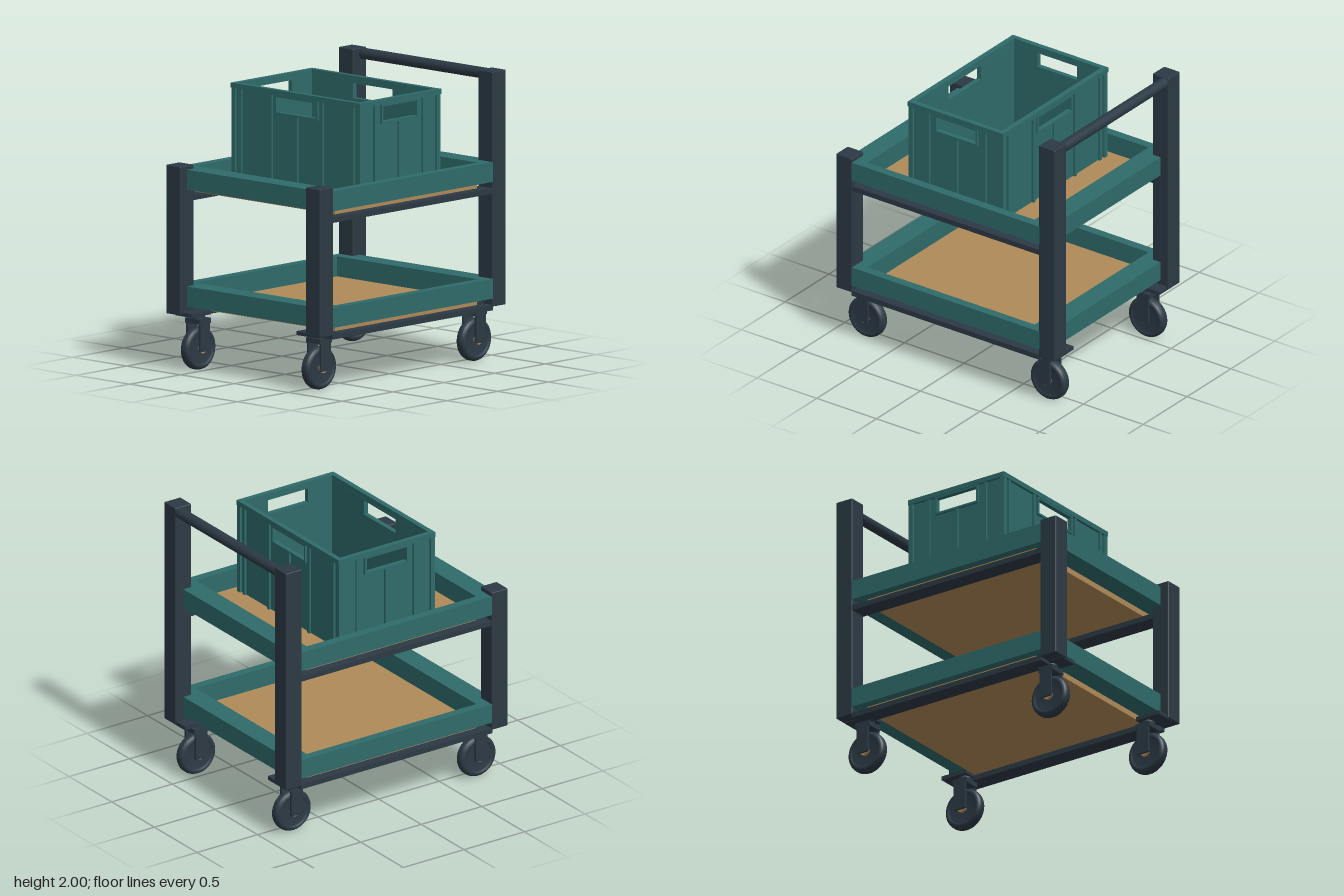
import * as THREE from 'three';
import { RoundedBoxGeometry } from 'three/addons/geometries/RoundedBoxGeometry.js';

const mat = (name, color) => {
  const m = new THREE.MeshStandardMaterial({ color });
  m.name = name;
  return m;
};

export function createModel() {
  const teal = mat('teal', 0x2f6b6a);
  const dark = mat('darkSteel', 0x2c3944);
  const wood = mat('wood', 0xb08a58);

  const root = new THREE.Group();
  root.name = 'trolley';

  const add = (parent, name, geometry, material) => {
    const mesh = new THREE.Mesh(geometry, material);
    mesh.name = name;
    parent.add(mesh);
    return mesh;
  };
  // Box given by its minimum and maximum on each axis
  const box = (parent, name, m, [x0, x1], [y0, y1], [z0, z1], bevel = 0) => {
    const s = [Math.abs(x1 - x0), y1 - y0, Math.abs(z1 - z0)];
    const g = bevel ? new RoundedBoxGeometry(...s, 2, bevel) : new THREE.BoxGeometry(...s);
    g.translate((x0 + x1) / 2, (y0 + y1) / 2, (z0 + z1) / 2);
    return add(parent, name, g, m);
  };
  const group = (name, parent = root) => {
    const g = new THREE.Group();
    g.name = name;
    parent.add(g);
    return g;
  };

  // Corner posts: short at the front, tall at the back
  for (const sx of [-1, 1]) {
    const px = [sx * 0.582, sx * 0.715];
    box(root, 'frontPost', dark, px, [0.39, 1.41], [0.783, 0.916], 0.007);
    box(root, 'backPost', dark, px, [0.39, 2], [-0.916, -0.783], 0.007);
  }

  // Push handle between the tall posts
  const handle = add(root, 'pushHandle', new THREE.CylinderGeometry(0.038, 0.038, 1.18, 24), dark);
  handle.rotation.z = Math.PI / 2;
  handle.position.set(0, 1.96, -0.88);

  // Two trays, each with a board, a raised rim and support rails
  for (const [name, y] of [['lowerTray', 0.365], ['upperTray', 1.165]]) {
    const tray = group(name);
    box(tray, 'board', wood, [-0.65, 0.65], [y + 0.04, y + 0.08], [-0.7, 0.7]);
    for (const s of [-1, 1]) {
      box(tray, 'supportRail', dark, [s * 0.582, s * 0.712], [y, y + 0.037], [-0.79, 0.79]);
      box(tray, 'sideRim', teal, [s * 0.65, s * 0.714], [y + 0.08, y + 0.217], [-0.79, 0.79]);
      box(tray, 'endRim', teal, [-0.65, 0.65], [y + 0.08, y + 0.217], [s * 0.7, s * 0.85]);
    }
  }

  // Casters
  const tyreProfile = [
    [0.03, -0.026], [0.105, -0.026], [0.112, -0.037], [0.128, -0.037], [0.141, -0.027],
    [0.147, -0.012], [0.147, 0.012], [0.141, 0.027], [0.128, 0.037], [0.112, 0.037],
    [0.105, 0.026], [0.03, 0.026],
  ].map(([r, h]) => new THREE.Vector2(r, h));
  for (const sx of [-1, 1]) for (const sz of [-1, 1]) {
    const caster = group('caster');
    caster.position.set(sx * 0.56, 0, sz * 0.763);
    const pz = sz > 0 ? [-0.05, 0.143] : [-0.143, 0.06];
    box(caster, 'mountPlate', dark, [-0.073, 0.073], [0.385, 0.412], pz);
    const swivel = add(caster, 'swivel', new THREE.CylinderGeometry(0.048, 0.048, 0.04, 24), dark);
    swivel.position.y = 0.372;
    box(caster, 'forkCrown', dark, [-0.067, 0.067], [0.325, 0.36], [-0.057, 0.057]);
    for (const s of [-1, 1]) {
      box(caster, 'forkLeg', dark, [s * 0.05, s * 0.067], [0.135, 0.34], [-0.047, 0.047]);
    }
    const wheel = group('wheel', caster);
    wheel.position.y = 0.152;
    wheel.rotation.z = Math.PI / 2;
    add(wheel, 'tyre', new THREE.LatheGeometry(tyreProfile, 40), dark);
    add(wheel, 'hub', new THREE.CylinderGeometry(0.032, 0.032, 0.098, 20), wood);
  }

  // Crate on the upper tray
  const crate = group('crate');
  const bottom = 1.245, rimY = 1.885, top = 1.92;
  box(crate, 'crateFloor', teal, [-0.57, 0.57], [bottom, bottom + 0.025], [-0.37, 0.37]);

  // One crate wall facing +z in its own frame: half length, distance out, grip half width
  const wall = (half, out, grip, ribs, turn) => {
    const side = group('crateWall', crate);
    side.rotation.y = turn;
    const shape = new THREE.Shape();
    const w = half - 0.025;
    shape.moveTo(-w, bottom).lineTo(w, bottom).lineTo(w, rimY).lineTo(-w, rimY);
    const hole = new THREE.Path();
    hole.moveTo(-grip, 1.767).lineTo(-grip, 1.87).lineTo(grip, 1.87).lineTo(grip, 1.767);
    shape.holes.push(hole);
    const panel = new THREE.ExtrudeGeometry(shape, { depth: 0.018, bevelEnabled: false });
    panel.translate(0, 0, out - 0.038);
    add(side, 'panel', panel, teal);

    const z = [out - 0.025, out - 0.004];
    box(side, 'rim', teal, [-half, half], [rimY, top], [out - 0.037, out]);
    // Raised frame around the hand grip
    box(side, 'gripFrame', teal, [-grip - 0.015, grip + 0.015], [1.753, 1.767], z);
    box(side, 'gripFrame', teal, [-grip - 0.015, grip + 0.015], [1.87, rimY], z);
    for (const s of [-1, 1]) {
      box(side, 'gripFrame', teal, [s * grip, s * (grip + 0.015)], [1.767, 1.87], z);
      box(side, 'cornerPost', teal, [s * (half - 0.037), s * (half - 0.003)], [bottom, rimY], [out - 0.037, out - 0.003]);
      for (const x of ribs) {
        box(side, 'rib', teal, [s * x - 0.012, s * x + 0.012], [bottom, rimY], z);
      }
    }
    box(side, 'centreRib', teal, [-0.012, 0.012], [bottom, 1.753], z);
  };
  for (const t of [0, Math.PI]) {
    wall(0.6, 0.4, 0.185, [0.237, 0.522], t);
    wall(0.4, 0.6, 0.165, [0.237], t + Math.PI / 2);
  }

  return root;
}
